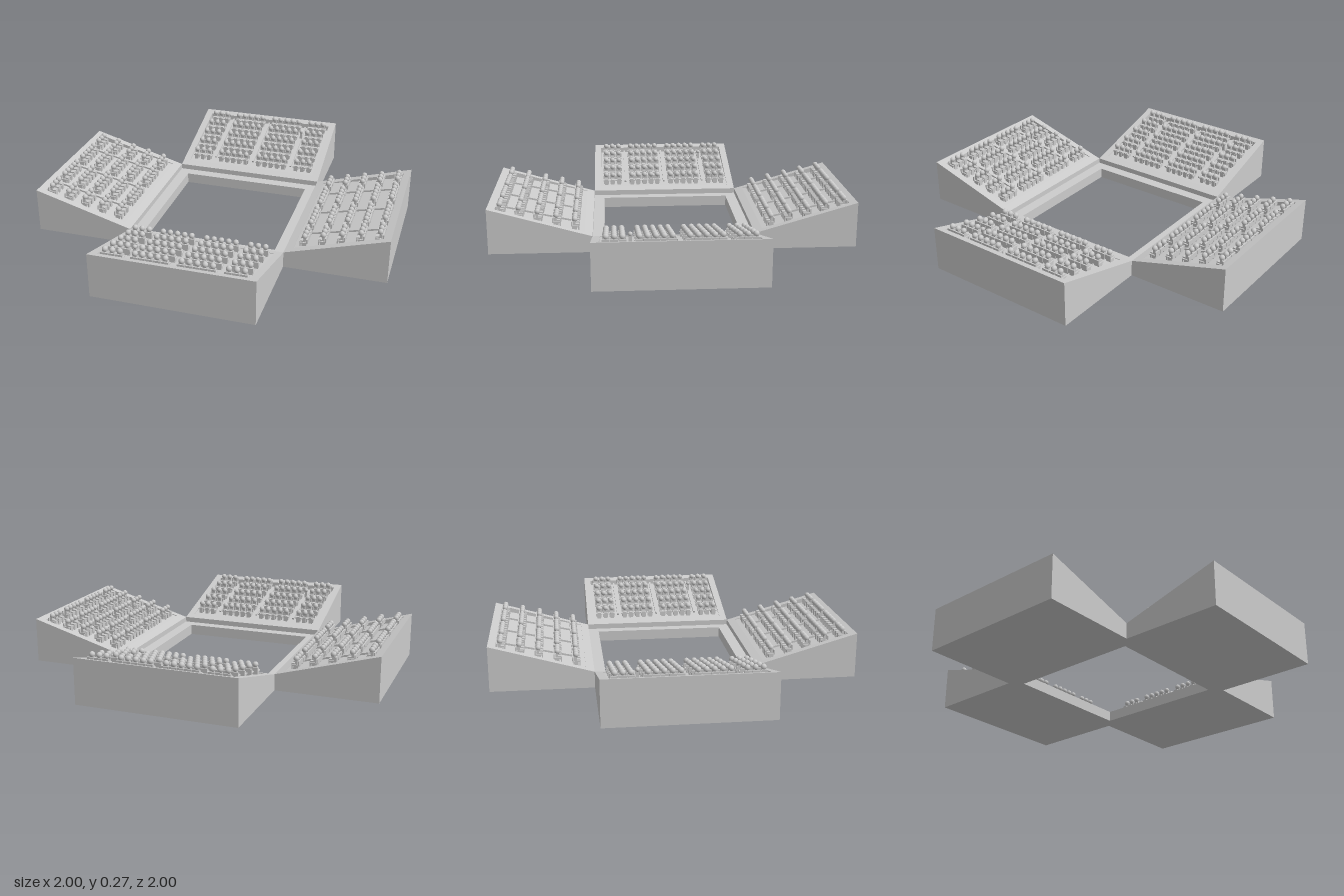
import * as THREE from 'three';
import { mergeGeometries } from 'three/addons/utils/BufferGeometryUtils.js';

const IN = 0.44, OUT = 1, HALF = 0.44;        // stand footprint
const LOW = 0.09, HIGH = 0.25;                // stand heights at pitch and rear
const WELL_IN = 0.485, WELL_OUT = 0.96, WELL_HALF = 0.4;
const SLOPE = 0.23;

const rakeY = z => LOW + (HIGH - LOW) * (z - IN) / (OUT - IN);
const floorY = z => 0.1 + SLOPE * (z - WELL_IN);

const box = (w, h, d, x, y, z) => new THREE.BoxGeometry(w, h, d).translate(x, y, z);

// Extrudes a (z, y) profile from x0 to x1
function slab(profile, x0, x1) {
  const shape = new THREE.Shape(profile.map(p => new THREE.Vector2(...p)));
  return new THREE.ExtrudeGeometry(shape, { depth: x1 - x0, bevelEnabled: false })
    .rotateY(-Math.PI / 2).translate(x1, 0, 0);
}

// Wedge with a sunken seating well
function standGeometry() {
  const cheek = [[IN, 0], [OUT, 0], [OUT, HIGH], [IN, LOW]];
  const middle = [[IN, 0], [OUT, 0], [OUT, HIGH],
    [WELL_OUT, rakeY(WELL_OUT)], [WELL_OUT, floorY(WELL_OUT)],
    [WELL_IN, floorY(WELL_IN)], [WELL_IN, rakeY(WELL_IN)], [IN, LOW]];
  return mergeGeometries([
    slab(cheek, -HALF, -WELL_HALF),
    slab(middle, -WELL_HALF, WELL_HALF),
    slab(cheek, WELL_HALF, HALF)
  ]);
}

// Seat positions: blocks of 3, 5, 5 and 3 seats in five rows
function seatSpots() {
  const spots = [];
  for (let row = 0; row < 5; row++) {
    const z = 0.535 + row * 0.1;
    for (const side of [-1, 1]) {
      for (let i = 0; i < 5; i++) spots.push([side * (0.042 + i * 0.0405), floorY(z), z]);
      for (let i = 0; i < 3; i++) spots.push([side * (0.285 + i * 0.0405), floorY(z), z]);
    }
  }
  return spots;
}

const repeat = (geometry, spots) =>
  mergeGeometries(spots.map(p => geometry.clone().translate(...p)));

export function createModel() {
  const model = new THREE.Group();
  model.name = 'stadium';
  const material = new THREE.MeshStandardMaterial({ color: 0xcccccc });
  const part = (name, geometry, parent) => {
    const mesh = new THREE.Mesh(geometry, material);
    mesh.name = name;
    parent.add(mesh);
  };

  // Low frame around the open pitch
  const square = r => [[-r, -r], [r, -r], [r, r], [-r, r]].map(p => new THREE.Vector2(...p));
  const frame = new THREE.Shape(square(0.44));
  frame.holes.push(new THREE.Path(square(0.378)));
  part('pitchFrame', new THREE.ExtrudeGeometry(frame, { depth: 0.06, bevelEnabled: false })
    .rotateX(-Math.PI / 2), model);

  const spots = seatSpots();

  // Seat: base, cushion and backrest
  const seat = mergeGeometries([
    box(0.03, 0.024, 0.026, 0, 0.008, 0.002),
    box(0.038, 0.006, 0.04, 0, 0.02, 0),
    box(0.038, 0.026, 0.007, 0, 0.031, 0.018)
  ]);
  // Seated body: torso, thighs and shins
  const body = mergeGeometries([
    box(0.024, 0.026, 0.014, 0, 0.034, 0.004),
    box(0.022, 0.008, 0.022, 0, 0.026, -0.01),
    box(0.022, 0.034, 0.006, 0, 0.01, -0.02)
  ]);
  const head = new THREE.SphereGeometry(0.0155, 10, 8).translate(0, 0.0545, 0.001);

  // Aisles run up between the seat blocks
  const aisleIn = 0.545, mid = (aisleIn + WELL_OUT) / 2;
  const aisle = x => box(0.01, 0.02, (WELL_OUT - aisleIn) / Math.cos(Math.atan(SLOPE)), 0, 0, 0)
    .rotateX(-Math.atan(SLOPE)).translate(x, floorY(mid), mid);

  const geometries = {
    stand: standGeometry(),
    aisles: mergeGeometries([-0.245, 0, 0.245].map(aisle)),
    seats: repeat(seat, spots),
    spectatorBodies: repeat(body, spots),
    spectatorHeads: repeat(head, spots)
  };

  // Attendant standing on one aisle
  const ax = -0.245, az = 0.837, ay = floorY(az);
  geometries.attendantBody = box(0.016, 0.04, 0.012, ax, ay + 0.026, az);
  geometries.attendantHead = new THREE.SphereGeometry(0.012, 10, 8).translate(ax, ay + 0.054, az);

  // Four identical stands turned around the pitch
  ['front', 'left', 'back', 'right'].forEach((side, i) => {
    const group = new THREE.Group();
    group.name = side + 'Stand';
    group.rotation.y = i * Math.PI / 2;
    for (const [name, geometry] of Object.entries(geometries)) part(name, geometry, group);
    model.add(group);
  });
  return model;
}
